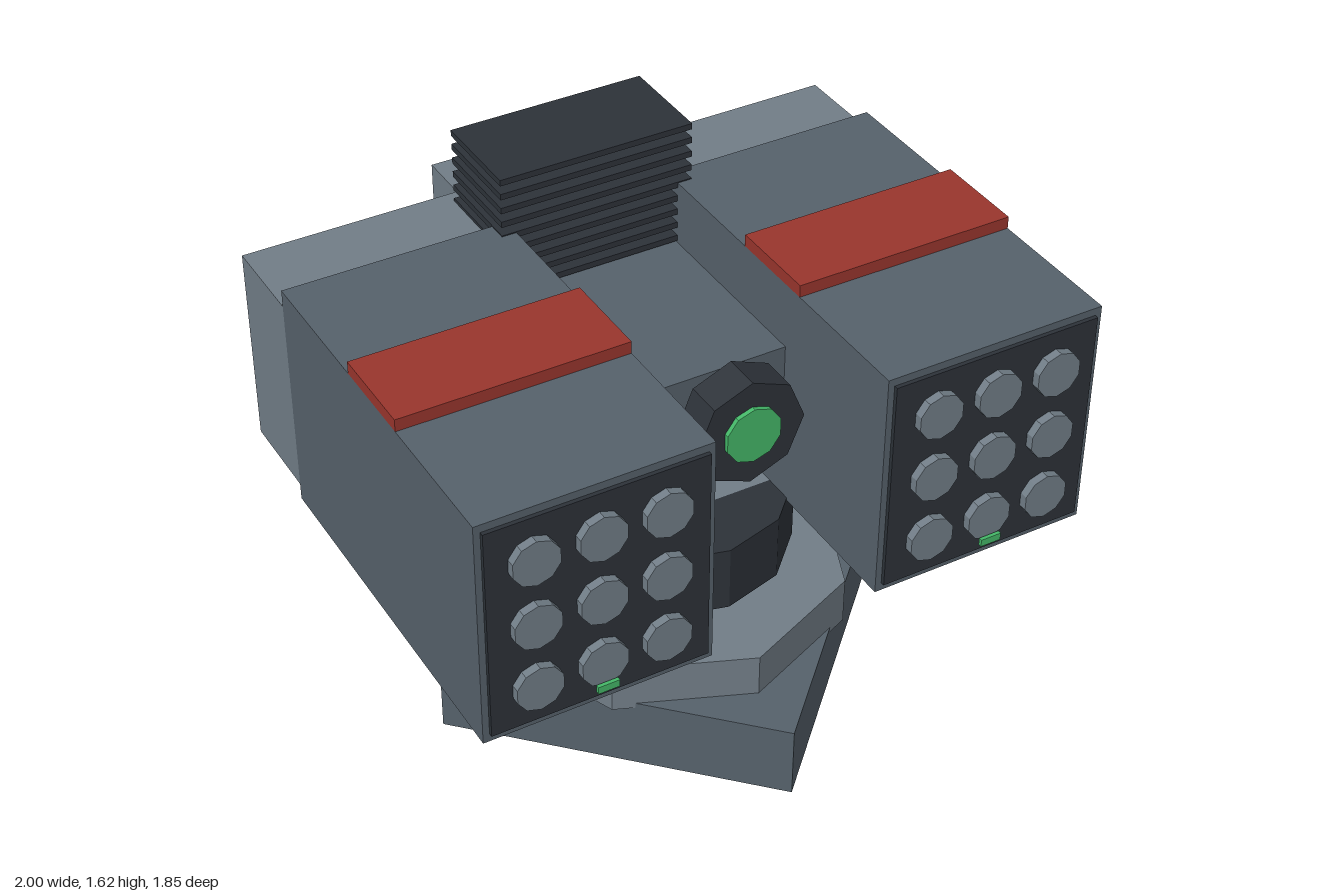
import * as THREE from 'three';

const paint = (color) => new THREE.MeshStandardMaterial({ color, flatShading: true });

export function createModel() {
  const root = new THREE.Group();
  root.name = 'twinPodTurret';
  const mid = paint(0x56616b), light = paint(0x717d87), dark = paint(0x2d3239);
  const red = paint(0x99352d), green = paint(0x44b768);

  function add(parent, name, geometry, material) {
    const mesh = new THREE.Mesh(geometry, material);
    mesh.name = name;
    parent.add(mesh);
    return mesh;
  }
  // Box given by its extents on each axis
  function box(parent, name, [x0, x1], [y0, y1], [z0, z1], material) {
    const mesh = add(parent, name, new THREE.BoxGeometry(x1 - x0, y1 - y0, z1 - z0), material);
    mesh.position.set((x0 + x1) / 2, (y0 + y1) / 2, (z0 + z1) / 2);
    return mesh;
  }
  // Upright prism on the turning axis
  function prism(name, radius, y0, y1, sides, material) {
    const mesh = add(root, name, new THREE.CylinderGeometry(radius, radius, y1 - y0, sides), material);
    mesh.position.set(0, (y0 + y1) / 2, 0.108);
    return mesh;
  }
  // Forward-facing disc
  function disc(parent, name, radius, sides, x, y, z0, z1, material) {
    const geometry = new THREE.CylinderGeometry(radius, radius, z1 - z0, sides).rotateX(Math.PI / 2);
    const mesh = add(parent, name, geometry, material);
    mesh.position.set(x, y, (z0 + z1) / 2);
    return mesh;
  }

  // Pedestal: square plinth, octagonal ring, twelve-sided neck
  prism('plinth', 0.782, 0, 0.243, 4, mid);
  prism('turntable', 0.58, 0.225, 0.385, 8, light);
  const neck = prism('neck', 0.4, 0.45, 0.67, 12, dark);
  // Cut away the neck's lower left corner
  const p = neck.geometry.attributes.position;
  for (let i = 0; i < p.count; i++) {
    if (p.getY(i) < 0 && p.getX(i) > 0.39) p.setX(i, 0.346);
  }
  box(root, 'podBracket', [-0.515, 0.515], [0.55, 0.67], [-0.07, 0.28], light);

  // Central body with rear engine block
  box(root, 'body', [-0.275, 0.275], [0.87, 1.21], [-0.4, 0.34], mid);
  box(root, 'rearBlock', [-0.25, 0.25], [0.78, 1.305], [-0.925, -0.38], light);

  // Floating stack of cooling fins
  const fins = new THREE.Group();
  fins.name = 'coolingFins';
  root.add(fins);
  for (let i = 0; i < 9; i++) {
    const y = 1.226 + i * 0.0481;
    box(fins, 'fin', [-0.323, 0.323], [y - 0.01, y + 0.01], [-0.612, -0.29], dark);
  }

  // Sensor eye
  disc(root, 'sensorHousing', 0.175, 8, 0, 1.175, 0.485, 0.605, dark);
  disc(root, 'sensorLens', 0.092, 10, 0, 1.175, 0.6, 0.62, green);

  // Launcher pods on both sides
  for (const side of [-1, 1]) {
    const pod = new THREE.Group();
    pod.name = side > 0 ? 'leftPod' : 'rightPod';
    pod.position.x = side * 0.6375;
    root.add(pod);
    const w = [-0.3625, 0.3625];
    box(pod, 'podShell', w, [0.66, 1.425], [-0.355, 0.865], mid);
    box(pod, 'podRear', w, [0.715, 1.37], [-0.655, -0.355], light);
    box(pod, 'podStripe', w, [1.425, 1.465], [0.103, 0.405], red);
    box(pod, 'podFace', [-0.342, 0.342], [0.687, 1.4], [0.85, 0.878], dark);
    for (let row = 0; row < 3; row++) {
      for (let col = -1; col <= 1; col++) {
        disc(pod, 'tubeCap', 0.075, 10, col * 0.201, 0.821 + row * 0.222, 0.87, 0.905, light);
      }
    }
    box(pod, 'statusLight', [-0.034, 0.034], [0.738, 0.762], [0.91, 0.922], green);
  }
  return root;
}
